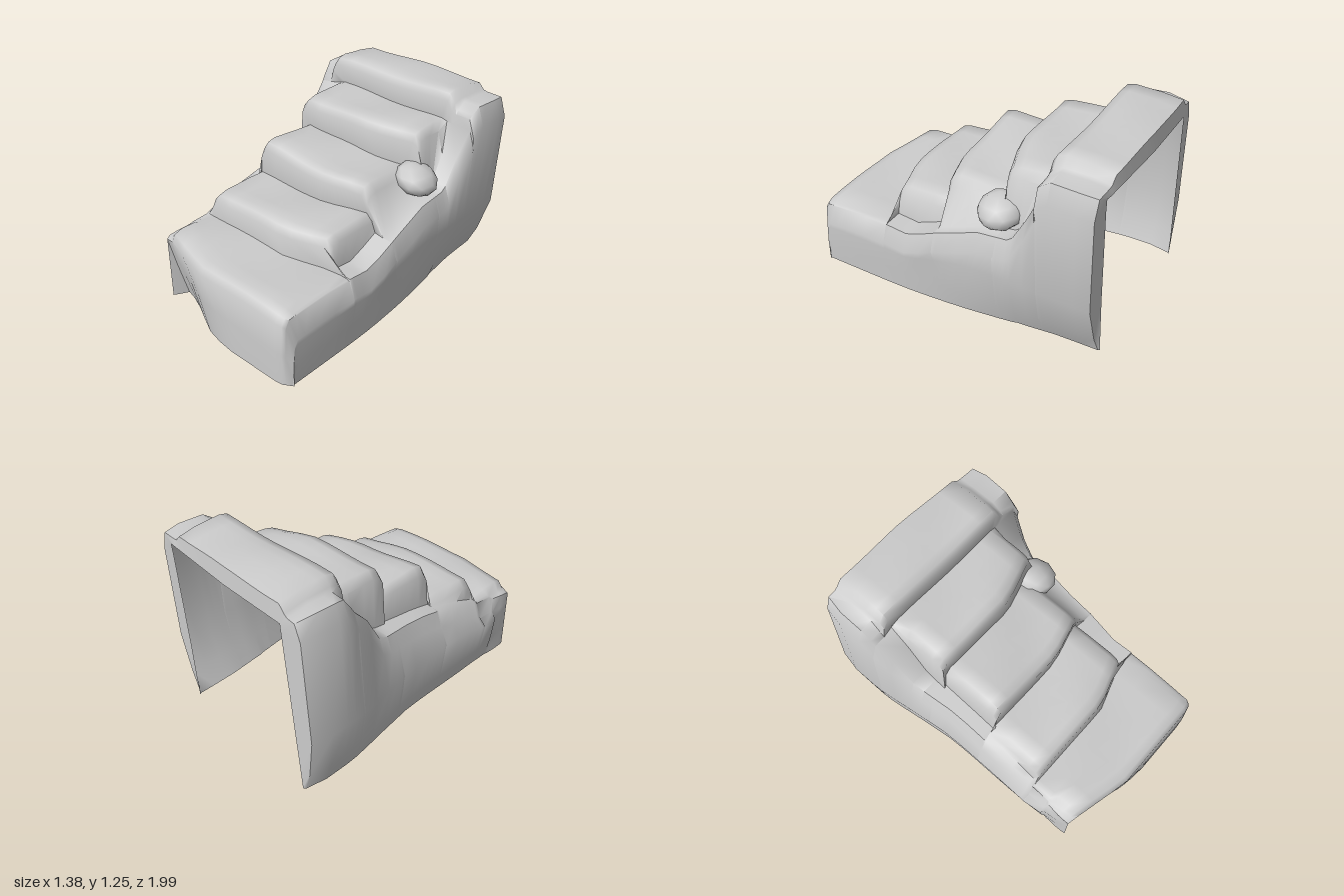
import * as THREE from 'three';
import { mergeVertices, toCreasedNormals } from 'three/addons/utils/BufferGeometryUtils.js';

const stone = new THREE.MeshStandardMaterial({ color: 0xcccccc, side: THREE.DoubleSide });
const { clamp, lerp } = THREE.MathUtils;

// Treads, front to back: front z, back z, height at -x and +x, inner edges,
// how far the nose falls back towards +x, and the run-out of the +x flank
const steps = [
  { f: 0.985, b: 0.57, yl: 0.5, yr: 0.455, xl: -0.5, xr: 0.57, skew: 0, run: 0.02 },
  { f: 0.565, b: 0.17, yl: 0.665, yr: 0.65, xl: -0.46, xr: 0.45, skew: 0.1, run: 0.02 },
  { f: 0.18, b: -0.23, yl: 0.9, yr: 0.82, xl: -0.41, xr: 0.42, skew: 0.08, run: 0.12 },
  { f: -0.22, b: -0.61, yl: 1.08, yr: 1.045, xl: -0.43, xr: 0.46, skew: 0.1, run: 0.04 },
  { f: -0.6, b: -0.95, yl: 1.25, yr: 1.225, xl: -0.5, xr: 0.5, skew: 0, run: 0.03 },
];

// Side walls along z: z, shoulder height at -x and +x, outer x at -x and +x, foot at +x
const walls = [
  [0.98, 0.44, 0.42, -0.54, 0.63, 0.62], [0.6, 0.48, 0.45, -0.605, 0.64, 0.62],
  [0.38, 0.57, 0.43, -0.61, 0.64, 0.615], [0.22, 0.61, 0.51, -0.61, 0.65, 0.605],
  [0.05, 0.65, 0.57, -0.61, 0.64, 0.59], [-0.1, 0.67, 0.64, -0.615, 0.64, 0.57],
  [-0.36, 0.71, 0.67, -0.65, 0.64, 0.53], [-0.49, 0.93, 0.84, -0.67, 0.645, 0.52],
  [-0.6, 1.05, 1.1, -0.685, 0.67, 0.51], [-0.67, 1.17, 1.16, -0.69, 0.68, 0.5],
  [-0.86, 1.18, 1.16, -0.69, 0.69, 0.49], [-1, 1.15, 1.14, -0.65, 0.665, 0.485],
];

function wallAt(z) {
  let i = 0;
  while (i < walls.length - 2 && z < walls[i + 1][0]) i++;
  const [a, b] = [walls[i], walls[i + 1]];
  const t = clamp((a[0] - z) / (a[0] - b[0]), 0, 1);
  return a.map((v, k) => v + (b[k] - v) * t);
}

// One arch-shaped section: wall, shoulder, tread, shoulder, wall
function section(z, { yl, yr, xl, xr, run }, drop, skew, scale = 1) {
  const [, sl, sr, ol, or, foot] = wallAt(z);
  const k = clamp((0.94 - z) * 3, 0, 1); // walls stand upright at the front
  const left = Math.min(sl, yl - drop - 0.015);
  const right = Math.min(sr, yr - drop - 0.015);
  const leftWall = [
    [ol + 0.07 * k, 0], [ol + 0.03 * k, 0.14], [ol, Math.min(0.4, left * 0.7)],
    [ol + 0.05 * k, left - 0.1], [ol + 0.09 * k, left],
    [xl - 0.02, left + 0.005], [xl, Math.max(yl - drop - 0.05, left + 0.01)],
  ];
  const rightWall = [
    [xr, Math.max(yr - drop - 0.05, right + 0.01)], [xr + run, right + 0.005],
    [or - 0.04, right], [or, right - 0.12],
    [Math.min(or, 0.64), Math.min(0.4, right * 0.65)], [lerp(0.64, foot, 0.55), 0.14], [foot, 0],
  ];
  const tread = [];
  for (let i = 0; i <= 8; i++) {
    const t = i / 8;
    tread.push([lerp(xl + 0.04, xr - 0.04, t),
      lerp(yl, yr, t) - drop + 0.008 * Math.sin(t * 7 + z * 9)]);
  }
  return [...leftWall, ...tread, ...rightWall].map(([x, y]) => {
    // Noses falling back to one side, cut-back front corners, slanted back edge
    let dz = -skew * clamp((x - 0.15) / 0.3, 0, 1);
    if (z > 0.7) {
      dz = -0.24 * Math.max(0, -0.1 - x) - 0.6 * Math.max(0, x - 0.56);
      dz -= (1 - scale) * 0.1 * clamp((0.1 - x) / 0.5, 0, 1);
      x += (1 - scale) * (x < 0 ? 0.05 : 0) * clamp(-x / 0.5, 0, 1);
    }
    if (z < -0.9) dz = x > 0 ? 0.05 * x - 0.03 : -0.03;
    return [x, y * scale, z + dz];
  });
}

// Rim folding inwards around the rear opening
function rearLip(row) {
  return row.map(([x, y, z]) => {
    const t = clamp(y / 1.1, 0, 1);
    const edge = x < 0 ? lerp(-0.58, -0.47, t) : lerp(0.48, 0.56, t);
    return [clamp(x, Math.min(edge, 0), Math.max(edge, 0)), Math.min(y, 1.11), z - 0.01];
  });
}

function loft(rows) {
  const n = rows[0].length, index = [];
  for (let r = 0; r < rows.length - 1; r++) {
    for (let i = 0; i < n - 1; i++) {
      const a = r * n + i, b = a + n;
      index.push(a, a + 1, b, a + 1, b + 1, b);
    }
  }
  const g = new THREE.BufferGeometry();
  g.setAttribute('position', new THREE.Float32BufferAttribute(rows.flat(2), 3));
  g.setIndex(index);
  return toCreasedNormals(mergeVertices(g), 1.1);
}

export function createModel() {
  const group = new THREE.Group();

  // Staircase shell, open below and behind
  const rows = [];
  steps.forEach((step, i) => {
    const { f, b, skew } = step;
    const nextSkew = i < 4 ? steps[i + 1].skew : 0;
    if (i === 0) {
      rows.push(section(f + 0.01, step, 0.04, 0, 0));
      rows.push(section(f + 0.01, step, 0.04, 0, 0.5));
    }
    rows.push(section(f, step, 0.06, skew));
    rows.push(section(f - 0.025, step, 0.015, skew));
    rows.push(section(f - 0.08, step, 0, skew));
    for (const t of [0.4, 0.7]) {
      rows.push(section(lerp(f, b, t), step, 0, lerp(skew, nextSkew, t)));
    }
    rows.push(section(b, step, i < 4 ? 0.005 : 0.02, nextSkew));
  });
  rows.push(rearLip(rows[rows.length - 1]));
  const shell = new THREE.Mesh(loft(rows), stone);
  shell.name = 'staircaseShell';
  group.add(shell);

  // Worn rock resting on the +x shoulder
  const rockShape = new THREE.IcosahedronGeometry(1, 1);
  rockShape.deleteAttribute('uv');
  rockShape.deleteAttribute('normal');
  const rock = new THREE.Mesh(toCreasedNormals(mergeVertices(rockShape), 1.1), stone);
  rock.name = 'shoulderRock';
  rock.position.set(0.48, 0.76, -0.29);
  rock.scale.set(0.14, 0.09, 0.14);
  rock.rotation.set(0.1, 0.3, -0.4);
  group.add(rock);
  return group;
}
